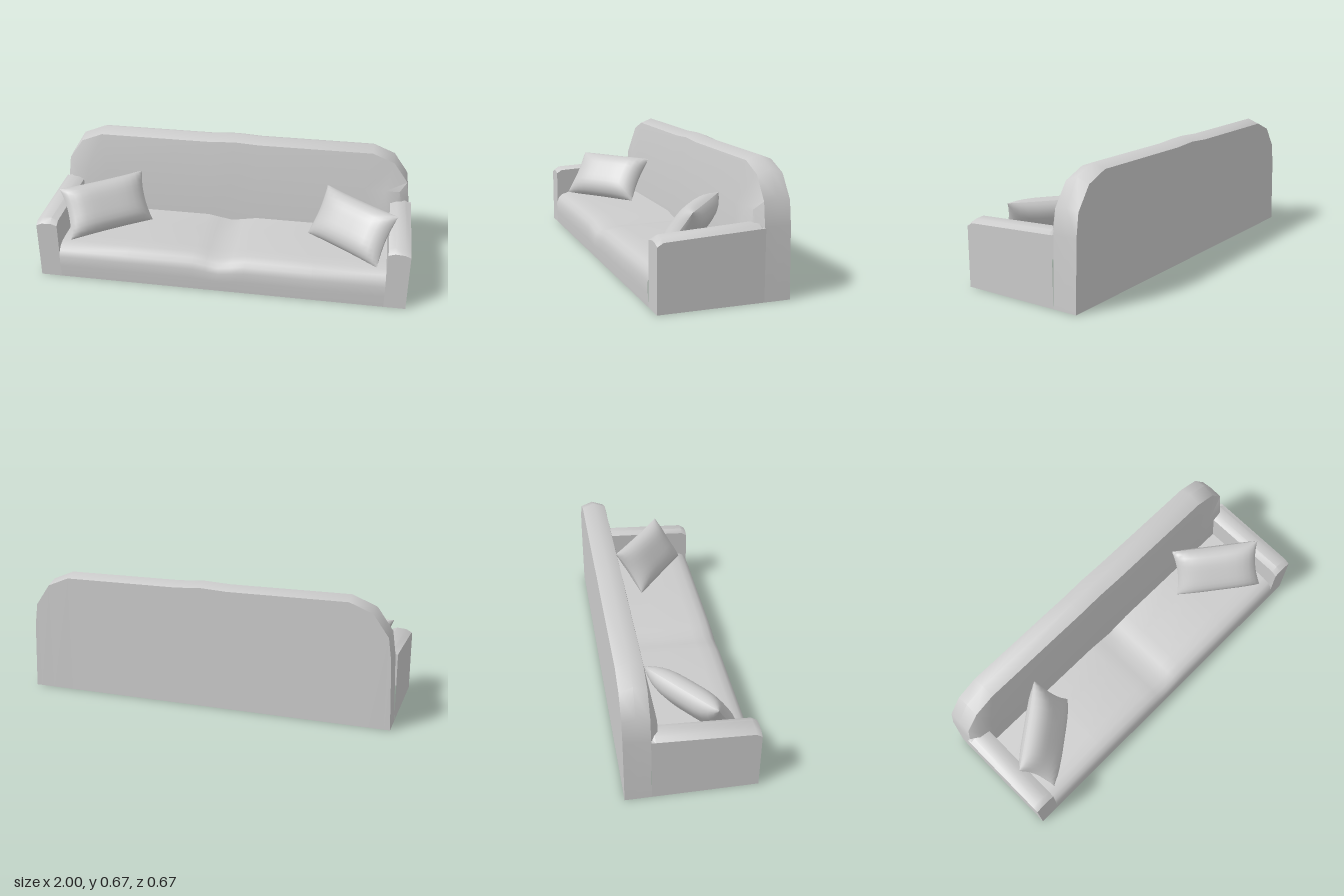
import * as THREE from 'three';
import { toCreasedNormals, mergeVertices } from 'three/addons/utils/BufferGeometryUtils.js';

const material = new THREE.MeshStandardMaterial({ color: 0xcccccc, side: THREE.DoubleSide });

// Skin a list of equally long rows of [x, y, z] points.
function skin(name, rows, crease = 0.8) {
  const n = rows[0].length, index = [];
  for (let r = 0; r < rows.length - 1; r++) {
    for (let c = 0; c < n - 1; c++) {
      const a = r * n + c, b = a + 1, d = a + n, e = d + 1;
      index.push(a, b, e, a, e, d);
    }
  }
  const geo = new THREE.BufferGeometry();
  geo.setAttribute('position', new THREE.Float32BufferAttribute(rows.flat(2), 3));
  geo.setIndex(index);
  const mesh = new THREE.Mesh(toCreasedNormals(mergeVertices(geo), crease), material);
  mesh.name = name;
  return mesh;
}

const dip = (x, depth) => depth * Math.max(0, 1 - Math.abs(x) / 0.14);

// Seat: rolled front edge, shallow dip in the middle, open underneath.
function createSeat() {
  const profile = [[0.33, 0], [0.334, 0.07], [0.334, 0.125], [0.322, 0.16], [0.3, 0.18],
    [0.26, 0.192], [0.2, 0.196], [0, 0.198], [-0.145, 0.2]];
  const xs = [-0.885, -0.5, -0.14, -0.07, 0, 0.07, 0.14, 0.5, 0.885];
  return skin('seat', profile.map(([z, y]) =>
    xs.map(x => [x, y - dip(x, 0.025) * Math.min(1, y / 0.18), z])), 1.2);
}

// Backrest: clipped upper corners, ridged rim and sloping front.
function createBackrest() {
  const group = new THREE.Group();
  group.name = 'backrest';
  const half = [[1, 0], [0.987, 0.355], [0.97, 0.485], [0.89, 0.612], [0.77, 0.66], [0.14, 0.66]];
  const ridge = [...half, [0, 0.668], ...half.slice().reverse().map(([x, y]) => [-x, y])];
  const edge = ridge.map(([x, y]) => [x, y > 0.4 ? y - 0.025 * Math.min(1, (y - 0.4) / 0.2) : y]);
  const at = (pts, z) => pts.map(([x, y]) => [x, y, z]);

  group.add(skin('backrestRim', [at(edge, -0.333), at(ridge, -0.267), at(edge, -0.2)]));
  group.add(skin('backPanel', [edge.map(([x]) => [x, 0, -0.333]), at(edge, -0.333)]));

  const front = edge.slice(1, -1);
  group.add(skin('backCushion', [
    at(front, -0.2),
    front.map(([x, y]) => [x * 0.96, Math.min(y, 0.43), -0.163]),
    front.map(([x]) => [THREE.MathUtils.clamp(x, -0.885, 0.885), 0.2 - dip(x, 0.025), -0.145]),
  ]));
  return group;
}

// Arm: slightly rising, rounded top, chamfered front, open underneath.
function createArm(side) {
  const group = new THREE.Group();
  group.name = side > 0 ? 'leftArm' : 'rightArm';
  const section = (z, lift, bump, low) => [
    [1, 0], [1, 0.313 + lift], [0.97, 0.313 + lift + bump * 0.8], [0.92, 0.313 + lift + bump],
    [0.885, 0.313 + lift + bump * 0.3], [0.885, low],
  ].map(([x, y]) => [x * side, y, z]);
  const rows = [section(0.33, 0, 0.016, 0.14), section(0.3, 0.018, 0.02, 0.18),
    section(-0.18, 0.041, 0.021, 0.195), section(-0.2, 0.042, 0.002, 0.195)];
  group.add(skin('armBody', rows, 0.7));

  // Front panel runs down to the floor.
  const top = rows[0].slice(1, 5);
  group.add(skin('armFront', [top, top.map(([x, , z]) => [x, 0, z])]));
  return group;
}

// Pillow: two bulging faces leaning in the corner, with pinched corners.
function createPillow(side) {
  const center = new THREE.Vector3(0.685, 0.32, 0.052);
  const across = new THREE.Vector3(0.195, 0, 0.15);
  const up = new THREE.Vector3(0.045, 0.118, -0.07);
  const normal = across.clone().cross(up).normalize();
  const n = 14, group = new THREE.Group();
  group.name = side > 0 ? 'leftPillow' : 'rightPillow';
  for (const face of [1, -1]) {
    const rows = [];
    for (let i = 0; i <= n; i++) {
      const row = [], v = -Math.cos(Math.PI * i / n);
      for (let j = 0; j <= n; j++) {
        const u = -Math.cos(Math.PI * j / n);
        const bulge = 0.07 * Math.pow((1 - u ** 4) * (1 - v ** 4), 0.6);
        const p = center.clone()
          .addScaledVector(across, u * (1 - 0.08 * (1 - v * v)))
          .addScaledVector(up, v * (1 - 0.03 * (1 - u * u)))
          .addScaledVector(normal, face * bulge);
        row.push([p.x * side, p.y, p.z]);
      }
      rows.push(row);
    }
    group.add(skin(face > 0 ? 'pillowFront' : 'pillowBack', rows, 1));
  }
  return group;
}

export function createModel() {
  const sofa = new THREE.Group();
  sofa.name = 'sofa';
  sofa.add(createSeat(), createBackrest());
  for (const side of [1, -1]) sofa.add(createArm(side), createPillow(side));
  return sofa;
}
